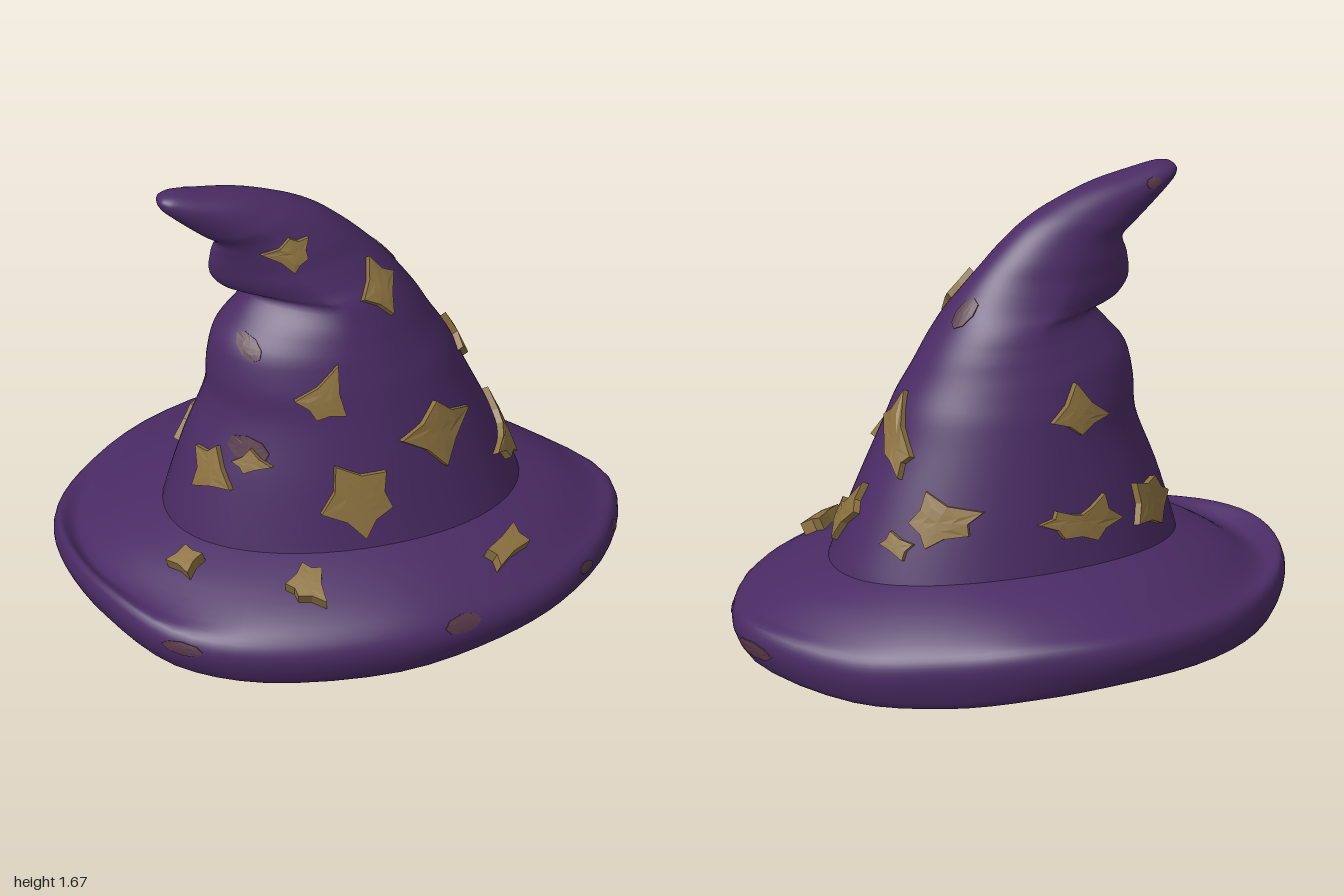
import * as THREE from 'three';

const mat = (name, color) => Object.assign(new THREE.MeshStandardMaterial({ color }), { name });
const V = (x, y, z) => new THREE.Vector3(x, y, z);
const N = 64;

// Skin a list of closed rings (N points each) into a smooth surface
function loft(rings) {
  const pos = [], idx = [];
  rings.forEach(r => r.forEach(p => pos.push(p.x, p.y, p.z)));
  for (let i = 0; i < rings.length - 1; i++) for (let j = 0; j < N; j++) {
    const a = i * N + j, b = i * N + (j + 1) % N, c = a + N, d = b + N;
    idx.push(a, c, b, b, c, d);
  }
  const g = new THREE.BufferGeometry();
  g.setAttribute('position', new THREE.Float32BufferAttribute(pos, 3));
  g.setIndex(idx);
  g.computeVertexNormals();
  return g;
}

// Crown sections: left point x,y, right point x,y, half depth, pinch of the left side
const CROWN = [
  [-0.64, 0.29, 0.66, 0.29, 0.485, 0], [-0.62, 0.38, 0.63, 0.38, 0.46, 0],
  [-0.56, 0.58, 0.54, 0.6, 0.41, 0], [-0.48, 0.8, 0.45, 0.8, 0.355, 0],
  [-0.475, 0.92, 0.4, 0.92, 0.325, 0], [-0.45, 1.04, 0.34, 1.02, 0.29, 0.05],
  [-0.38, 1.13, 0.29, 1.11, 0.255, 0.15], [-0.33, 1.2, 0.23, 1.2, 0.222, 0.35],
  [-0.41, 1.22, 0.18, 1.27, 0.195, 0.5], [-0.46, 1.28, 0.12, 1.34, 0.17, 0.5],
  [-0.46, 1.37, 0.03, 1.43, 0.145, 0.35], [-0.45, 1.43, -0.08, 1.52, 0.12, 0.1],
  [-0.51, 1.48, -0.2, 1.58, 0.105, 0], [-0.57, 1.53, -0.35, 1.63, 0.09, 0],
  [-0.62, 1.575, -0.5, 1.655, 0.073, 0], [-0.655, 1.61, -0.6, 1.668, 0.053, 0],
  [-0.666, 1.635, -0.645, 1.662, 0.03, 0], [-0.662, 1.65, -0.662, 1.65, 0, 0],
];

// Rings up the crown from its foot to fraction `end`, drawn in by `inset`
function crownRings(inset, end, count) {
  const spline = f => new THREE.CatmullRomCurve3(CROWN.map(f));
  const left = spline(s => V(s[0], s[1], 0));
  const right = spline(s => V(s[2], s[3], 0));
  const depth = spline(s => V(s[4], s[5], 0));
  return Array.from({ length: count + 1 }, (_, i) => {
    const t = i / count * end;
    const l = left.getPoint(t), r = right.getPoint(t), d = depth.getPoint(t);
    const k = 0.5 - inset / Math.max(0.1, l.distanceTo(r));
    return Array.from({ length: N }, (_, j) => {
      const a = j / N * Math.PI * 2, p = l.clone().lerp(r, 0.5 + k * Math.cos(a));
      const pinch = d.y * Math.max(0, -Math.cos(a));
      p.z = 0.025 + Math.max(0, d.x - inset) * Math.sin(a) * (1 - pinch) - 0.08 * pinch;
      return p;
    });
  });
}

// Hollow inside of the crown, closed at the top
function liningGeometry() {
  const rings = crownRings(0.03, 0.42, 24).reverse();
  const centre = rings[0].reduce((s, p) => s.add(p), V(0, 0, 0)).divideScalar(N);
  return loft([rings[0].map(() => centre), ...rings]);
}

// Brim outline: x, z, rim height, underside height, upper surface height
const BRIM = [
  [1, 0.03, 0.14, 0.04, 0.21], [0.9, 0.35, 0.13, 0.07, 0.21], [0.66, 0.61, 0.13, 0.06, 0.22],
  [0.4, 0.74, 0.13, 0.04, 0.23], [0, 0.82, 0.13, 0.015, 0.24], [-0.5, 0.73, 0.12, 0.005, 0.23],
  [-0.78, 0.55, 0.13, 0.02, 0.21], [-0.95, 0.25, 0.18, 0.08, 0.2], [-1, 0, 0.2, 0.11, 0.2],
  [-0.96, -0.25, 0.19, 0.1, 0.21], [-0.8, -0.5, 0.17, 0.06, 0.23], [-0.5, -0.73, 0.18, 0.07, 0.26],
  [-0.1, -0.83, 0.2, 0.08, 0.28], [0.25, -0.76, 0.19, 0.05, 0.28], [0.53, -0.6, 0.15, 0.01, 0.25],
  [0.8, -0.38, 0.12, 0.002, 0.22],
];

function brimGeometry() {
  const rim = new THREE.CatmullRomCurve3(BRIM.map(b => V(b[0], b[2], b[1])), true);
  const heights = new THREE.CatmullRomCurve3(BRIM.map(b => V(b[3], b[4], 0)), true);
  const M = 44, rings = Array.from({ length: M + 1 }, () => []);
  for (let j = 0; j < N; j++) {
    const e = rim.getPoint(j / N), h = heights.getPoint(j / N);
    const a = Math.atan2(e.z / 0.82, e.x), s = Math.sin(a), base = 0.34 + 0.035 * s * s - 0.01 * s;
    const bx = 0.01 + 0.625 * Math.cos(a), bz = 0.015 + 0.46 * s;
    // Profile from the inner underside, round the rim and back up to the crown
    const profile = [
      [-0.13, 0.315], [0.25, 0.23], [0.55, 0.13], [0.76, h.x + 0.025], [0.88, h.x], [0.97, (h.x + e.y) / 2 - 0.005],
      [1, e.y], [0.95, e.y + 0.05], [0.78, h.y], [0.4, h.y * 0.5 + base * 0.5 + 0.01], [0, base], [-0.06, base + 0.005],
    ].map(([t, y]) => V(bx + (e.x - bx) * t, y, bz + (e.z - bz) * t));
    const curve = new THREE.CatmullRomCurve3(profile);
    for (let i = 0; i <= M; i++) rings[i].push(curve.getPoint(i / M));
  }
  return loft(rings);
}

// Directions from which patch outlines are pressed onto the hat
const SIDES = {
  front: (u, v) => [V(u, v, 3), V(0, 0, -1)],
  back: (u, v) => [V(u, v, -3), V(0, 0, 1)],
  left: (u, v) => [V(3, v, u), V(-1, 0, 0)],
  top: (u, v) => [V(u, 3, v), V(0, -1, 0)],
};

// Raised chip following the hat surface under a 2D outline
function chipGeometry(targets, side, outline, thick, pull) {
  const ray = new THREE.Raycaster();
  const cast = (u, v) => { ray.set(...SIDES[side](u, v)); return ray.intersectObjects(targets)[0]; };
  const n0 = outline.length;
  const cu = outline.reduce((s, p) => s + p[0], 0) / n0, cv = outline.reduce((s, p) => s + p[1], 0) / n0;
  const edge = [];
  outline.forEach((p, i) => {
    const q = outline[(i + 1) % n0], mu = (p[0] + q[0]) / 2, mv = (p[1] + q[1]) / 2;
    edge.push(p, [mu + (cu - mu) * pull, mv + (cv - mv) * pull]);
  });
  const mid = cast(cu, cv), normal = mid.face.normal;
  const hit = (p, k) => cast(cu + (p[0] - cu) * k, cv + (p[1] - cv) * k)?.point;
  const cols = edge.map(p => [hit(p, 0.5), hit(p, 1)]).filter(c => c[0] && c[1]);
  const lift = (p, d) => p.clone().addScaledVector(normal, d);
  const c = lift(mid.point, thick);
  // Keep the outline counter-clockwise seen from outside
  const area = V(0, 0, 0);
  cols.forEach((k, i) => area.add(k[1].clone().sub(mid.point).cross(cols[(i + 1) % cols.length][1].clone().sub(mid.point))));
  if (area.dot(normal) < 0) cols.reverse();
  const pts = [];
  cols.forEach((k, i) => {
    const m = cols[(i + 1) % cols.length];
    const a = lift(k[0], thick), b = lift(m[0], thick), d = lift(k[1], thick), e = lift(m[1], thick);
    const f = lift(k[1], -0.015), g = lift(m[1], -0.015);
    pts.push(c, a, b, a, d, e, a, e, b, d, f, g, d, g, e);
  });
  const geo = new THREE.BufferGeometry().setFromPoints(pts);
  geo.computeVertexNormals();
  return geo;
}

const CHIPS = {
  front: [
    [[-0.32, 1.42], [-0.22, 1.48], [-0.15, 1.47], [-0.16, 1.4], [-0.21, 1.35]],
    [[0.07, 1.33], [0.16, 1.25], [0.13, 1.14], [0.02, 1.22]],
    [[-0.09, 1.03], [-0.075, 0.85], [-0.18, 0.84], [-0.25, 0.91]],
    [[0.26, 0.81], [0.4, 0.72], [0.28, 0.58], [0.11, 0.72]],
    [[-0.13, 0.67], [0.05, 0.63], [0.065, 0.5], [-0.04, 0.4], [-0.19, 0.5]],
    [[-0.45, 0.65], [-0.39, 0.71], [-0.33, 0.66], [-0.42, 0.62]],
    [[-0.56, 0.51], [-0.53, 0.64], [-0.48, 0.68], [-0.46, 0.55]],
  ],
  left: [
    [[0.03, 0.97], [-0.12, 0.78], [-0.11, 0.7], [-0.01, 0.76], [0.1, 0.86]],
    [[0.035, 0.64], [0.02, 0.54], [0.12, 0.41], [0.2, 0.44], [0.25, 0.5], [0.12, 0.54]],
    [[-0.2, 0.68], [-0.33, 0.62], [-0.33, 0.54], [-0.26, 0.49], [-0.19, 0.57]],
    [[-0.15, 0.53], [-0.23, 0.5], [-0.22, 0.44], [-0.13, 0.48]],
  ],
  back: [
    [[-0.26, 0.88], [-0.13, 1.02], [-0.02, 0.9], [-0.13, 0.84]],
    [[0.07, 0.56], [0, 0.6], [-0.1, 0.57], [-0.2, 0.62], [-0.27, 0.52], [-0.15, 0.47], [-0.02, 0.5]],
    [[-0.53, 0.5], [-0.45, 0.59], [-0.34, 0.61], [-0.33, 0.47], [-0.45, 0.43]],
  ],
  top: [
    [[-0.36, 0.57], [-0.28, 0.51], [-0.22, 0.55], [-0.24, 0.68], [-0.33, 0.63]],
    [[-0.7, 0.28], [-0.62, 0.26], [-0.58, 0.33], [-0.65, 0.38]],
    [[0.5, 0.44], [0.54, 0.51], [0.4, 0.62], [0.37, 0.56]],
  ],
};
// Faint stains: side, centre u, v, radii
const STAINS = [
  ['front', -0.4, 0.7, 0.06, 0.045], ['front', 0.23, 0.17, 0.07, 0.03], ['front', -0.74, 0.13, 0.06, 0.025],
  ['front', -0.37, 1.06, 0.035, 0.04], ['left', -0.03, 1.25, 0.035, 0.05], ['left', 0.52, 0.15, 0.03, 0.02],
  ['left', 0.29, 0.15, 0.025, 0.02], ['left', 0, 0.11, 0.1, 0.03], ['back', -0.55, 1.62, 0.03, 0.02],
];

export function createModel() {
  const purple = mat('purple felt', 0x4a2b64);
  const gold = mat('old gold', 0x8c7240);
  const brown = mat('brown stain', 0x573848);
  const group = new THREE.Group();
  group.name = 'pointedHat';
  const add = (geo, material, name) => {
    const m = new THREE.Mesh(geo, material);
    m.name = name;
    group.add(m);
    return m;
  };
  const crown = add(loft(crownRings(0, 1, 68)), purple, 'crown');
  const brim = add(brimGeometry(), purple, 'brim');
  add(liningGeometry(), purple, 'lining');
  const hat = [crown, brim];

  for (const side in CHIPS) CHIPS[side].forEach((o, i) =>
    add(chipGeometry(hat, side, o, side === 'top' ? 0.045 : 0.024, 0.18), gold, `${side}Patch${i + 1}`));

  STAINS.forEach(([side, u, v, ru, rv], i) => {
    const ring = Array.from({ length: 8 }, (_, k) => [u + ru * Math.cos(k * Math.PI / 4), v + rv * Math.sin(k * Math.PI / 4)]);
    add(chipGeometry(hat, side, ring, 0.004, 0), brown, `stain${i + 1}`);
  });
  return group;
}
